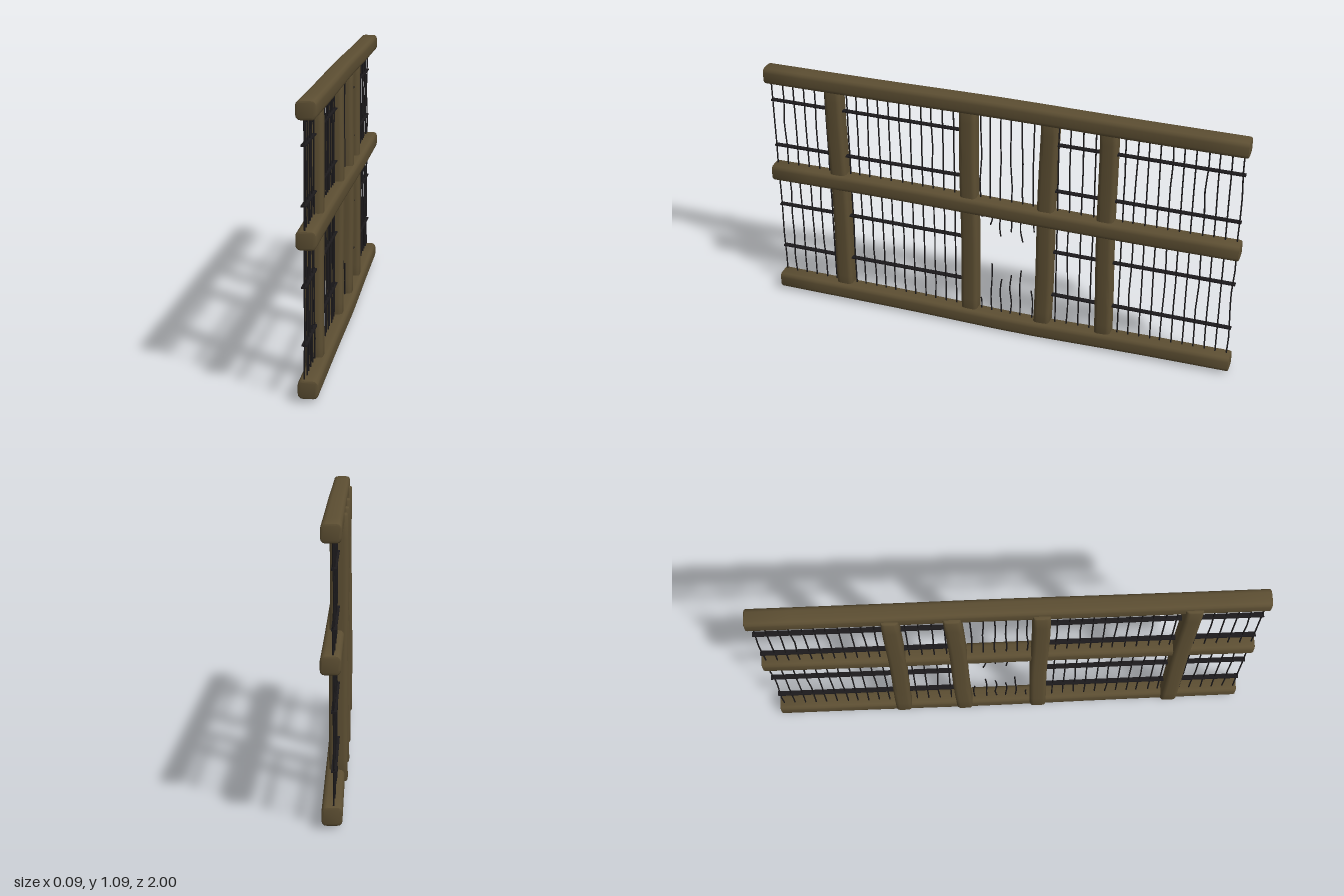
import * as THREE from 'three';
import { toCreasedNormals } from 'three/addons/utils/BufferGeometryUtils.js';

// Small seeded random in -1..1
function makeRandom(seed) {
  return () => {
    seed = (seed * 16807) % 2147483647;
    return (seed / 2147483647) * 2 - 1;
  };
}

// Rounded timber along z, gently bent by offset(t) with t in -1..1
function timber(w, h, length, radius, offset) {
  const bevel = 0.008;
  const a = w / 2 - bevel, b = h / 2 - bevel, r = radius;
  const s = new THREE.Shape();
  s.moveTo(-a + r, -b);
  s.lineTo(a - r, -b);
  s.quadraticCurveTo(a, -b, a, -b + r);
  s.lineTo(a, b - r);
  s.quadraticCurveTo(a, b, a - r, b);
  s.lineTo(-a + r, b);
  s.quadraticCurveTo(-a, b, -a, b - r);
  s.lineTo(-a, -b + r);
  s.quadraticCurveTo(-a, -b, -a + r, -b);
  const geo = new THREE.ExtrudeGeometry(s, {
    depth: length - 2 * bevel, steps: 12, curveSegments: 3,
    bevelEnabled: true, bevelThickness: bevel, bevelSize: bevel, bevelSegments: 2,
  });
  geo.translate(0, 0, -(length - 2 * bevel) / 2);
  const p = geo.attributes.position;
  for (let i = 0; i < p.count; i++) {
    const [dx, dy] = offset(p.getZ(i) / (length / 2));
    p.setXY(i, p.getX(i) + dx, p.getY(i) + dy);
  }
  return toCreasedNormals(geo, 0.7);
}

export function createModel() {
  const model = new THREE.Group();
  const wood = new THREE.MeshStandardMaterial({ color: 0x5c4e32 });
  wood.name = 'weathered wood';
  const iron = new THREE.MeshStandardMaterial({ color: 0x1c1a1c });
  iron.name = 'dark iron';
  const random = makeRandom(73);

  function add(name, geometry, material, parent = model) {
    const mesh = new THREE.Mesh(geometry, material);
    mesh.name = name;
    parent.add(mesh);
    return mesh;
  }

  // Three long rails, each slightly bowed
  const rails = [
    ['bottomRail', 0.048, (t) => [0.003 * t, -0.010 * Math.exp(-8 * (t + 0.1) ** 2) - 0.003 * (1 - t * t)]],
    ['middleRail', 0.589, (t) => [-0.002 * t, 0.004 * Math.sin(3 * t)]],
    ['topRail', 1.047, (t) => [0, 0.005 * Math.exp(-7 * t * t)]],
  ];
  for (const [name, y, bend] of rails) {
    add(name, timber(0.074, 0.07, 2, 0.012, bend), wood).position.set(0.004, y, 0);
  }

  // Four upright posts lapped onto the rails: z at the bottom, z at the top
  const posts = [[0.7, 0.705], [0.125, 0.126], [-0.193, -0.214], [-0.458, -0.45]];
  posts.forEach(([z0, z1], i) => {
    const lean = (z1 - z0) / 2;
    const geo = timber(0.07, 0.07, 1.03, 0.01,
      (t) => [0.002 * Math.sin(3 * t + i), -lean * t + 0.002 * Math.cos(4 * t + i)]);
    geo.rotateX(-Math.PI / 2);
    add('post' + (i + 1), geo, wood).position.set(-0.011, 0.545, (z0 + z1) / 2);
  });

  // Upright wires, a little crooked
  const wires = new THREE.Group();
  wires.name = 'wires';
  model.add(wires);
  function wire(name, z, y0, y1, wobble) {
    const points = [];
    const n = Math.max(3, Math.round((y1 - y0) / 0.11));
    for (let i = 0; i <= n; i++) {
      points.push(new THREE.Vector3(
        -0.005 + 0.002 * random(), y0 + ((y1 - y0) * i) / n, z + wobble * random()));
    }
    const path = new THREE.CatmullRomCurve3(points);
    add(name, new THREE.TubeGeometry(path, n * 2, 0.0032, 5), iron, wires);
  }
  const bays = [
    [0.985, 0.795, 5], [0.748, 0.652, 3], [0.61, 0.19, 10],
    [-0.25, -0.4, 4], [-0.52, -0.98, 11],
  ];
  for (const [from, to, count] of bays) {
    for (let i = 0; i < count; i++) {
      const z = from + ((to - from) * i) / (count - 1);
      wire('wire', z, 0.05, 1.04, i % 3 === 1 ? 0.004 : 0.001);
    }
  }

  // Broken bay: whole wires above, torn ends below
  const broken = [
    [0.075, 0.53, 0.13], [0.032, 0.5, 0.31], [-0.01, 0.45, 0.24],
    [-0.055, 0.48, 0.27], [-0.1, 0.44, 0.3], [-0.148, 0.5, 0.21],
  ];
  for (const [z, top, bottom] of broken) {
    wire('bentWire', z, 0.58, 1.04, 0.004);
    wire('tornWireTop', z, top, 0.6, 0.007);
    wire('tornWireBottom', z, 0.05, bottom, 0.007);
  }

  // Flat cross bars on both sides of the broken bay
  const spans = [[0.99, 0.7], [0.7, 0.125], [-0.2, -0.455], [-0.455, -0.99]];
  for (const y of [0.208, 0.42, 0.711, 0.922]) {
    for (const [z0, z1] of spans) {
      const bar = add('crossBar', new THREE.BoxGeometry(0.02, 0.006, z0 - z1), iron, wires);
      bar.position.set(-0.006, y, (z0 + z1) / 2);
      bar.rotation.x = 0.006 * random();
    }
  }
  return model;
}
